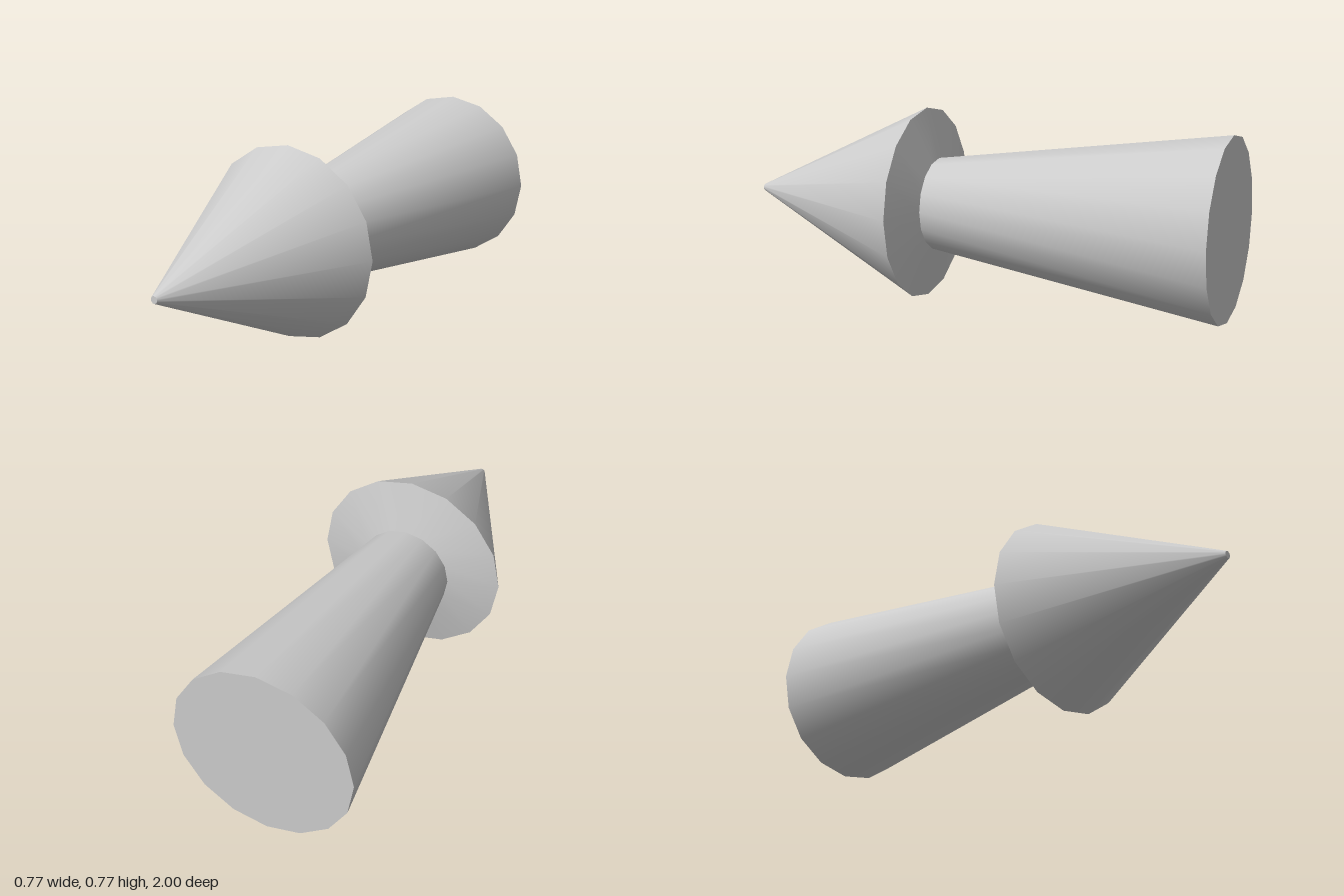
import * as THREE from 'three';

const SIDES = 16;
const AXIS_Y = 0.385;

export function createModel() {
  const group = new THREE.Group();
  group.name = 'arrow';
  const material = new THREE.MeshStandardMaterial({ color: 0xcccccc });

  const add = (name, geometry, z) => {
    const mesh = new THREE.Mesh(geometry, material);
    mesh.name = name;
    mesh.position.set(0, AXIS_Y, z);
    group.add(mesh);
  };

  // Open tapered tube along z, from the back ring to the front ring
  const taper = (name, zBack, rBack, zFront, rFront) => {
    const geometry = new THREE.CylinderGeometry(rFront, rBack, zFront - zBack, SIDES, 1, true);
    add(name, geometry.rotateX(Math.PI / 2), (zBack + zFront) / 2);
  };

  // Flat end disc, turned to face front or back
  const cap = (name, z, radius, facesBack) => {
    const geometry = new THREE.CircleGeometry(radius, SIDES);
    add(name, facesBack ? geometry.rotateY(Math.PI) : geometry, z);
  };

  // Pointed head with a tiny blunt tip
  taper('head', 0.235, 0.384, 1, 0.014);
  cap('headTip', 1, 0.014, false);

  // Sloped back of the head, narrowing to the shaft
  taper('headCollar', 0.182, 0.185, 0.235, 0.384);

  // Shaft widening toward the closed back end
  taper('shaft', -1, 0.355, 0.182, 0.185);
  cap('shaftEnd', -1, 0.355, true);

  return group;
}
